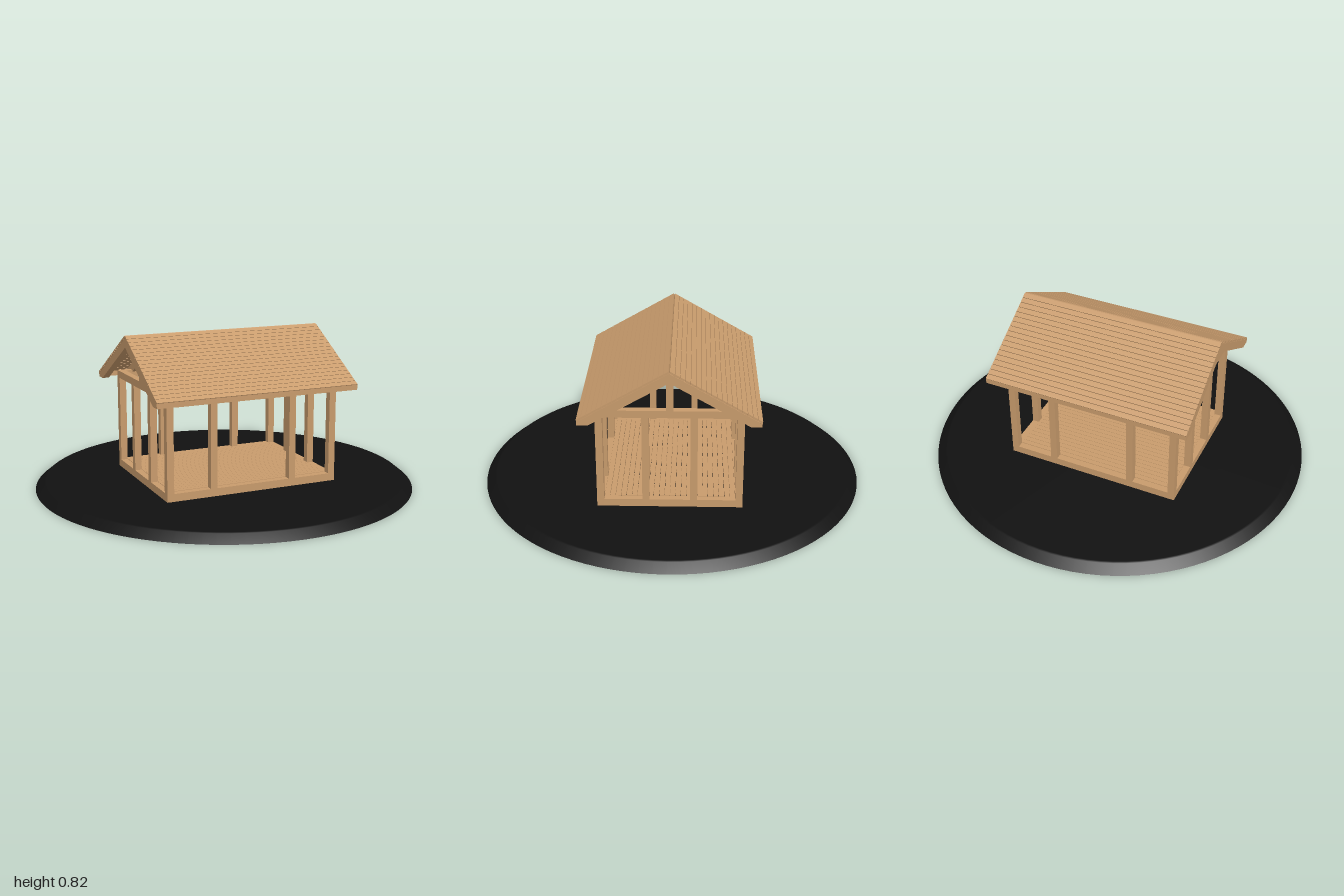
import * as THREE from 'three';

export function createModel() {
  const model = new THREE.Group();
  const wood = new THREE.MeshStandardMaterial({ color: 0xc89b6c, flatShading: true });
  const dark = new THREE.MeshStandardMaterial({ color: 0x111111, side: THREE.DoubleSide });

  const group = (name) => {
    const g = new THREE.Group();
    g.name = name;
    model.add(g);
    return g;
  };
  const box = (parent, name, w, h, d, x, y, z) => {
    const m = new THREE.Mesh(new THREE.BoxGeometry(w, h, d), wood);
    m.name = name;
    m.position.set(x, y, z);
    parent.add(m);
    return m;
  };

  const T = 0.036;              // timber thickness
  const PX = 0.45, PZ = 0.348;  // corner post centres
  const GROUND = 0.04, SILL = 0.08, PLATE = 0.537, TIE = 0.575;
  const innerX = 0.218, innerZ = 0.12;

  // round ground shell with a sloping rim, open underneath
  const profile = [[1, 0], [0.954, 0.037], [0.944, GROUND], [0, GROUND]];
  const base = new THREE.Mesh(
    new THREE.LatheGeometry(profile.map(([r, y]) => new THREE.Vector2(r, y)), 96), dark);
  base.name = 'groundDisc';
  model.add(base);

  // sill frame and top plates
  const frame = group('wallFrame');
  const sillH = SILL - GROUND, sillY = (SILL + GROUND) / 2;
  for (const s of [-1, 1]) {
    box(frame, 'longSill', 2 * PX + T, sillH, T, 0, sillY, s * PZ);
    box(frame, 'shortSill', T, sillH, 2 * PZ - T, s * PX, sillY, 0);
    box(frame, 'topPlate', 2 * PX + T, TIE - PLATE, T, 0, (TIE + PLATE) / 2, s * PZ);
  }

  // posts around the four sides
  const posts = group('posts');
  const post = (x, z) => box(posts, 'post', T, PLATE - SILL, T, x, (PLATE + SILL) / 2, z);
  for (const s of [-1, 1]) {
    for (const x of [-PX, -innerX, innerX, PX]) post(x, s * PZ);
    for (const z of [-innerZ, innerZ]) post(s * PX, z);
  }

  // floor boards with narrow gaps, on joists
  const floor = group('floor');
  const floorCount = 24, floorPitch = (2 * PZ - T) / floorCount;
  for (let i = 0; i < floorCount; i++) {
    const z = -PZ + T / 2 + (i + 0.5) * floorPitch;
    box(floor, 'floorBoard', 2 * PX - T, 0.012, floorPitch - 0.002, 0, 0.076, z);
  }
  for (let i = -3; i <= 3; i++) {
    box(floor, 'joist', 0.02, 0.03, 2 * PZ - T, i * PX / 4, GROUND + 0.015, 0);
  }

  // tie beams and king posts at the gables, with the ridge beam on top
  const gables = group('gables');
  for (const s of [-1, 1]) {
    box(gables, 'tieBeam', T, TIE - PLATE, 2 * PZ - T, s * PX, (TIE + PLATE) / 2, 0);
    box(gables, 'kingPost', T, 0.163, T, s * PX, TIE + 0.0815, 0);
  }
  box(gables, 'ridgeBeam', 1.05, 0.045, T, 0, 0.7605, 0);

  // rafter pairs out to the roof edges, each with a level cut at the foot
  const half = [[0.435, 0.555], [0.435, 0.532], [0.39, 0.532]];
  const outline = [[0, 0.806], ...half, [0, 0.757],
    ...half.slice().reverse().map(([z, y]) => [-z, y])];
  const rafterGeo = new THREE.ExtrudeGeometry(
    new THREE.Shape(outline.map(([z, y]) => new THREE.Vector2(z, y))),
    { depth: T, bevelEnabled: false });
  rafterGeo.translate(0, 0, -T / 2).rotateY(-Math.PI / 2);
  const rafters = group('rafters');
  for (let i = 0; i < 8; i++) {
    const m = new THREE.Mesh(rafterGeo, wood);
    m.name = 'rafterPair';
    m.position.x = -0.527 + (i * 1.054) / 7;
    rafters.add(m);
  }

  // roof boards on both slopes, and eave boards
  const roof = group('roof');
  const angle = Math.PI / 6, thick = 0.01, rows = 18;
  const pitch = 0.514 / rows;
  for (const s of [-1, 1]) {
    for (let i = 0; i < rows; i++) {
      const d = (i + 0.5) * pitch;
      const y = 0.818 - d * Math.sin(angle) - (thick / 2) * Math.cos(angle);
      const z = d * Math.cos(angle) - (thick / 2) * Math.sin(angle) + 0.003;
      box(roof, 'roofBoard', 1.092, thick, pitch - 0.0025, 0, y, s * z).rotation.x = s * angle;
    }
    box(roof, 'eaveBoard', 1.092, 0.028, 0.012, 0, 0.546, s * 0.439);
  }

  return model;
}
